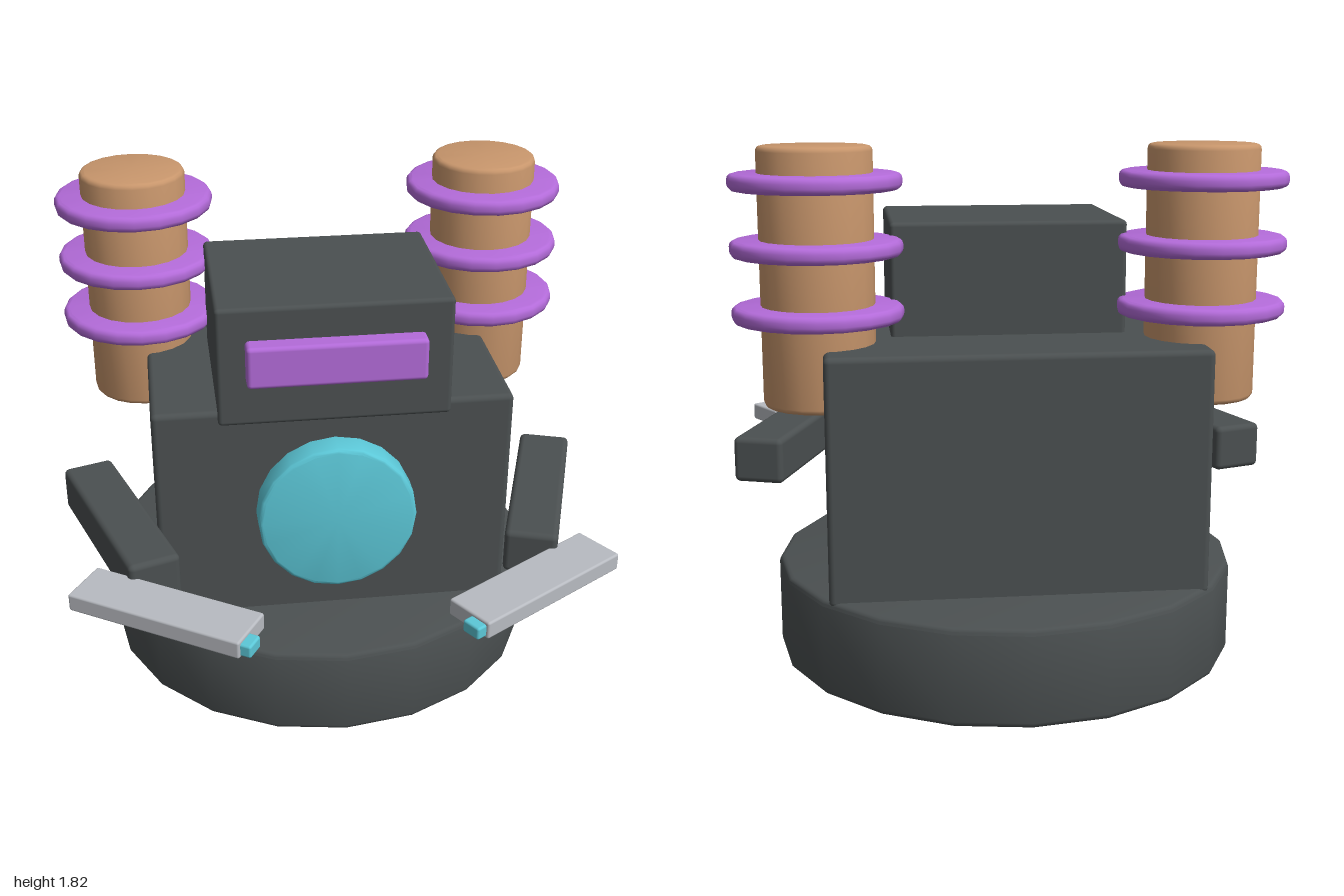
import * as THREE from 'three';
import { toCreasedNormals } from 'three/addons/utils/BufferGeometryUtils.js';
import { RoundedBoxGeometry } from 'three/addons/geometries/RoundedBoxGeometry.js';

const material = (name, color) => {
  const m = new THREE.MeshStandardMaterial({ color });
  m.name = name;
  return m;
};

// Solid cylinder standing on y = 0, with rounded rims
function roundedCylinder(radius, height, bevel, sides = 20) {
  const points = [new THREE.Vector2(0, 0)];
  const steps = 3;
  for (const [cy, start] of [[bevel, -Math.PI / 2], [height - bevel, 0]]) {
    for (let i = 0; i <= steps; i++) {
      const a = start + (i / steps) * Math.PI / 2;
      points.push(new THREE.Vector2(radius - bevel + bevel * Math.cos(a), cy + bevel * Math.sin(a)));
    }
  }
  points.push(new THREE.Vector2(0, height));
  return toCreasedNormals(new THREE.LatheGeometry(points, sides), 0.6);
}

export function createModel() {
  const charcoal = material('charcoal', 0x4b5051);
  const copper = material('copper', 0xc8966c);
  const purple = material('purple', 0xb36bd9);
  const cyan = material('cyan', 0x5cc8d8);
  const silver = material('silver', 0xb8bbc1);

  const model = new THREE.Group();
  model.name = 'hoverRobot';

  const add = (name, geometry, mat, x, y, z, parent = model) => {
    const mesh = new THREE.Mesh(geometry, mat);
    mesh.name = name;
    mesh.position.set(x, y, z);
    parent.add(mesh);
    return mesh;
  };
  const box = (w, h, d, bevel) => new RoundedBoxGeometry(w, h, d, 3, bevel);

  // Round base with a glowing underside
  add('hoverPad', roundedCylinder(0.74, 0.06, 0.02), purple, 0, 0, -0.193);
  add('base', roundedCylinder(0.807, 0.33, 0.02), charcoal, 0, 0.03, -0.193);

  // Body and head
  add('body', box(1.26, 0.83, 0.975, 0.02), charcoal, 0, 0.755, -0.213);
  add('head', box(0.805, 0.43, 0.64, 0.015), charcoal, 0, 1.34, -0.025);
  add('visor', box(0.61, 0.15, 0.12, 0.015), purple, 0, 1.365, 0.3);

  // Round chest reactor
  add('chestDisc', roundedCylinder(0.28, 0.12, 0.015), cyan, 0, 0.77, 0.25).rotation.x = Math.PI / 2;

  for (const [side, s] of [['left', 1], ['right', -1]]) {
    // Shoulder coil: column with three rings
    const coil = new THREE.Group();
    coil.name = side + 'Coil';
    coil.position.set(s * 0.643, 0, -0.41);
    model.add(coil);
    add('coilColumn', roundedCylinder(0.188, 0.855, 0.018), copper, 0, 0.96, 0, coil);
    for (const y of [1.27, 1.485, 1.7]) {
      add('coilRing', roundedCylinder(0.283, 0.055, 0.02), purple, 0, y - 0.0275, 0, coil);
    }

    // Upper arm slanting inward
    add(side + 'UpperArm', box(0.183, 0.163, 0.735, 0.02), charcoal,
      s * 0.76, 0.693, 0.21).rotation.y = s * -0.326;

    // Forearm blade with a small emitter at its tip
    const forearm = new THREE.Group();
    forearm.name = side + 'Forearm';
    forearm.position.set(s * 0.6175, 0.695, 0.7325);
    forearm.rotation.y = s * -1.011;
    model.add(forearm);
    add('forearmPlate', box(0.18, 0.063, 0.631, 0.008), silver, 0, 0, 0, forearm);
    add('emitterTip', box(0.07, 0.045, 0.08, 0.008), cyan, s * 0.045, -0.002, 0.312, forearm);
  }

  return model;
}
